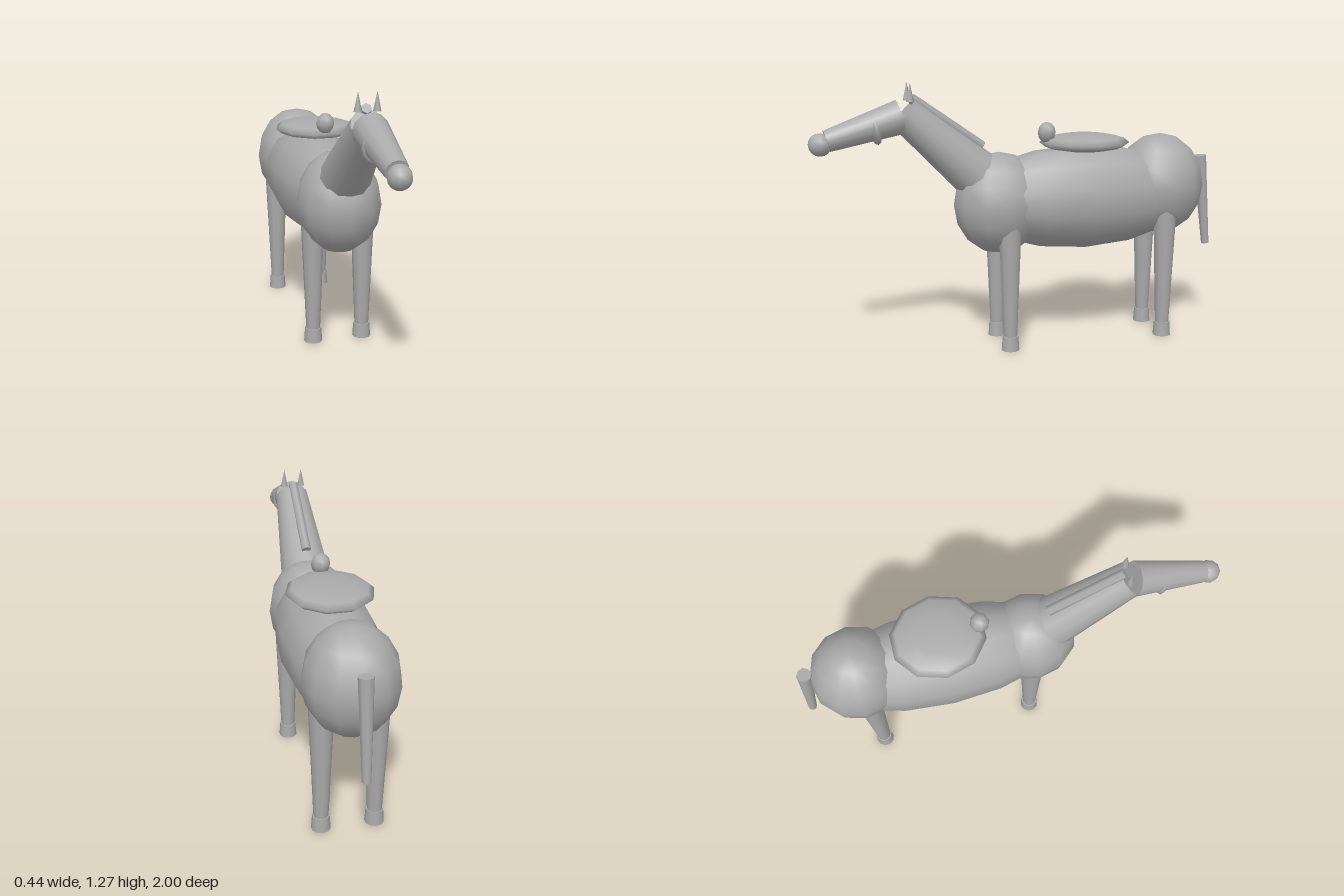
import * as THREE from 'three';

const grey = new THREE.MeshStandardMaterial({ color: 0xaaaaaa });
grey.name = 'grey';

export function createModel() {
  const model = new THREE.Group();
  model.name = 'saddledHorse';

  function add(name, geometry, x, y, z) {
    const mesh = new THREE.Mesh(geometry, grey);
    mesh.name = name;
    mesh.position.set(x, y, z);
    model.add(mesh);
    return mesh;
  }

  // Ellipsoid with given half sizes
  function ellipsoid(name, pos, size, segments = 12, rings = 8) {
    const geometry = new THREE.SphereGeometry(1, segments, rings).scale(...size);
    return add(name, geometry, ...pos);
  }

  // Tapered cylinder between two [y, z] points, in the plane at x
  function limb(name, x, from, to, rFrom, rTo, sides = 12) {
    const a = new THREE.Vector3(x, ...from);
    const b = new THREE.Vector3(x, ...to);
    const dir = b.clone().sub(a);
    const geometry = new THREE.CylinderGeometry(rTo, rFrom, dir.length(), sides);
    const mid = a.add(b).multiplyScalar(0.5);
    const mesh = add(name, geometry, mid.x, mid.y, mid.z);
    mesh.quaternion.setFromUnitVectors(new THREE.Vector3(0, 1, 0), dir.normalize());
    return mesh;
  }

  // Body: long barrel with its poles along z, chest and rump
  const barrel = new THREE.SphereGeometry(1, 12, 8)
    .rotateY(Math.PI / 12).rotateX(Math.PI / 2).scale(0.227, 0.252, 0.6);
  add('barrel', barrel, 0, 0.705, -0.3);
  ellipsoid('chest', [0, 0.695, 0.12], [0.2, 0.243, 0.22]);
  ellipsoid('rump', [0, 0.75, -0.71], [0.212, 0.25, 0.218]);

  // Neck, head and muzzle
  limb('neck', 0, [0.83, 0.22], [1.13, 0.565], 0.12, 0.08);
  limb('head', 0, [1.115, 0.58], [1.015, 0.915], 0.08, 0.05);
  ellipsoid('nose', [0, 1, 0.945], [0.052, 0.052, 0.054], 10, 8);
  const strap = add('chinStrap', new THREE.TorusGeometry(0.06, 0.016, 6, 14), 0, 1.065, 0.7);
  strap.rotation.x = 0.2;

  // Mane and tail
  limb('mane', 0, [1.197, 0.53], [0.967, 0.2], 0.024, 0.024, 6);
  limb('tail', 0, [0.88, -0.932], [0.425, -0.98], 0.034, 0.02, 8);

  // Saddle with its horn
  ellipsoid('saddle', [0, 0.969, -0.31], [0.2, 0.045, 0.22], 10, 6);
  ellipsoid('saddleHorn', [0, 1.022, -0.118], [0.045, 0.05, 0.045], 8, 6);

  for (const side of [-1, 1]) {
    const label = side > 0 ? 'left' : 'right';
    add(label + 'Ear', new THREE.ConeGeometry(0.018, 0.085, 6), side * 0.042, 1.228, 0.543);

    // Legs and hooves
    for (const [end, z] of [['Front', 0.1], ['Back', -0.69]]) {
      limb(label + end + 'Leg', side * 0.122, [0.05, z], [0.64, z], 0.033, 0.057, 10);
      add(label + end + 'Hoof', new THREE.CylinderGeometry(0.039, 0.044, 0.068, 10),
        side * 0.122, 0.034, z);
    }
  }
  return model;
}
